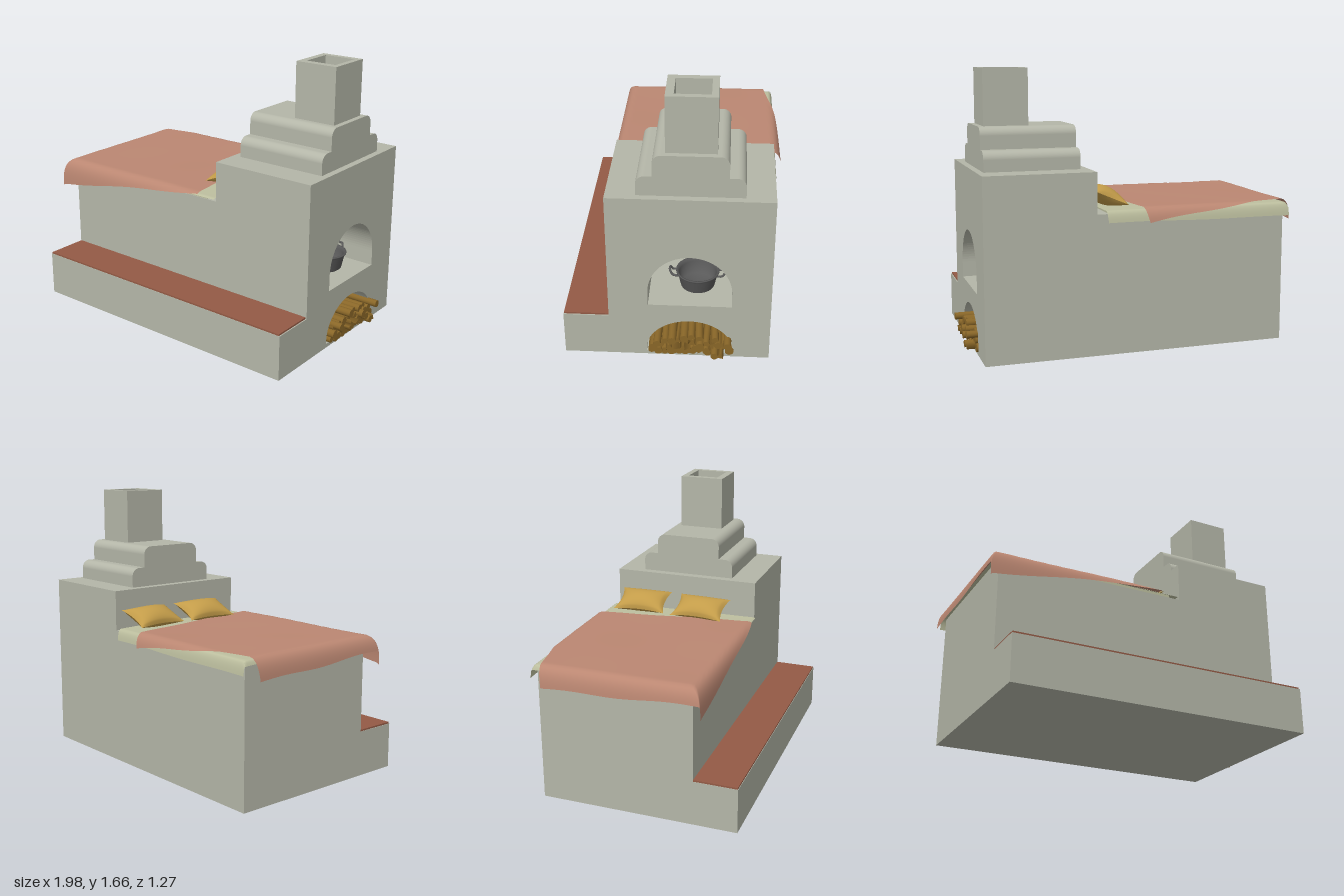
import * as THREE from 'three';

const mat = (color) => new THREE.MeshStandardMaterial({ color, roughness: 0.9, side: THREE.DoubleSide });
const M = {
  plaster: mat(0xb4b6a8), bench: mat(0x935a45), blanket: mat(0xbb8772), sheet: mat(0xbdbf9f),
  pillow: mat(0xc39c49), wood: mat(0x8a6728), iron: mat(0x595959),
};

export function createModel() {
  const model = new THREE.Group();
  const add = (name, geo, material, parent = model) => {
    const mesh = new THREE.Mesh(geo, material);
    mesh.name = name;
    parent.add(mesh);
    return mesh;
  };

  // Profiles are drawn in (-z, y) and extruded along x
  const extrudeX = (shape, x0, x1) =>
    new THREE.ExtrudeGeometry(shape, { depth: x1 - x0, bevelEnabled: false, curveSegments: 24 })
      .rotateY(Math.PI / 2).translate(x0, 0, 0);
  const polygon = (pts) => new THREE.Shape(pts.map(([a, y]) => new THREE.Vector2(a, y)));
  const stoveProfile = (top) =>
    polygon([[-0.635, 0], [0.57, 0], [0.57, top], [-0.37, top], [-0.37, 0.275], [-0.635, 0.275]]);
  const arch = (c, halfWidth, floor, spring, top) => {
    const p = new THREE.Path();
    p.moveTo(c - halfWidth, floor);
    p.lineTo(c + halfWidth, floor);
    p.lineTo(c + halfWidth, spring);
    p.absellipse(c, spring, halfWidth, top - spring, 0, Math.PI, false, 0);
    p.closePath();
    return p;
  };

  // Masonry: low sleeping platform, tall hearth with two arched niches
  add('sleepingPlatform', extrudeX(stoveProfile(0.835), -0.91, 0.27), M.plaster);
  add('hearthBack', extrudeX(stoveProfile(1.08), 0.27, 0.42), M.plaster);
  const front = stoveProfile(1.08);
  front.holes.push(arch(0.102, 0.242, 0.365, 0.46, 0.702), arch(0.102, 0.252, 0.025, 0.045, 0.252));
  add('hearthFront', extrudeX(front, 0.42, 0.93), M.plaster);

  // Rounded steps of the hood
  const hoodStep = (a0, a1, y0, y1, r) => {
    const s = new THREE.Shape();
    s.moveTo(a0, y0);
    s.lineTo(a1, y0);
    s.lineTo(a1, y1 - r);
    s.absarc(a1 - r, y1 - r, r, 0, Math.PI / 2);
    s.absarc(a0 + r, y1 - r, r, Math.PI / 2, Math.PI);
    s.closePath();
    return extrudeX(s, 0.32, 0.89);
  };
  add('hoodLowerStep', hoodStep(-0.2, 0.405, 1.08, 1.2, 0.05), M.plaster);
  add('hoodUpperStep', hoodStep(-0.108, 0.312, 1.2, 1.33, 0.05), M.plaster);

  // Hollow square chimney
  const rect = (x0, x1, a0, a1) => polygon([[x0, a0], [x1, a0], [x1, a1], [x0, a1]]);
  const flue = rect(0.59, 0.857, -0.038, 0.245);
  flue.holes.push(rect(0.63, 0.823, 0.008, 0.207));
  add('chimney', new THREE.ExtrudeGeometry(flue, { depth: 0.335, bevelEnabled: false })
    .rotateX(-Math.PI / 2).translate(0, 1.33, 0), M.plaster);

  // Wooden top of the bench
  add('benchTop', new THREE.BoxGeometry(1.83, 0.01, 0.262).translate(0.008, 0.28, 0.501), M.bench);

  // Cloth: a flat quad whose overhang folds down over the platform edges
  const drape = ([bl, br, fr, fl], y, flare, wave) => {
    const g = new THREE.PlaneGeometry(1, 1, 60, 60);
    const p = g.attributes.position;
    const out = (e) => flare * (1 - Math.exp(-e / 0.05));
    for (let i = 0; i < p.count; i++) {
      const u = p.getX(i) + 0.5, v = 0.5 - p.getY(i);
      const mix = (k) => (1 - v) * ((1 - u) * bl[k] + u * br[k]) + v * ((1 - u) * fl[k] + u * fr[k]);
      const x = mix(0) + wave * Math.sin(v * 11), z = mix(1) + wave * Math.sin(u * 9);
      const left = Math.max(0, -0.915 - x), near = Math.max(0, z - 0.37), far = Math.max(0, -0.575 - z);
      const e = Math.max(left, near, far);
      const ripple = 0.004 * Math.sin(7 * x + 3) * Math.sin(6 * z);
      p.setXYZ(i,
        Math.max(x, -0.915) - out(left),
        y + ripple * 0.5 - (e * e) / (e + 0.03),
        Math.min(0.37, Math.max(z, -0.575)) + out(near) - out(far));
    }
    g.computeVertexNormals();
    return g;
  };
  add('mattressCore', new THREE.BoxGeometry(1.1, 0.02, 0.93).translate(-0.35, 0.843, -0.1), M.sheet);
  add('mattressSheet',
    drape([[-0.97, -0.68], [0.21, -0.665], [0.265, 0.385], [-0.93, 0.385]], 0.855, 0.032, 0.003), M.sheet);
  add('blanket',
    drape([[-1.07, -0.52], [-0.03, -0.69], [0.15, 0.385], [-1.03, 0.575]], 0.869, 0.068, 0.006), M.blanket);

  // Pillows: two bulging halves with pinched corners
  const pillowHalf = (length, width, height) => {
    const g = new THREE.PlaneGeometry(2, 2, 24, 24);
    const p = g.attributes.position;
    for (let i = 0; i < p.count; i++) {
      const u = p.getX(i), v = p.getY(i), a = 1 - u * u, b = 1 - v * v;
      p.setXYZ(i, (u * width / 2) * (1 - 0.16 * b), height * Math.pow(a * b, 0.55),
        (-v * length / 2) * (1 - 0.12 * a));
    }
    g.computeVertexNormals();
    return g;
  };
  [[0.168, -0.36, 0.04, 0.34], [0.158, 0.04, -0.04, 0.345]].forEach(([x, z, turn, length]) => {
    const pillow = new THREE.Group();
    pillow.name = 'pillow';
    const half = pillowHalf(length, 0.215, 0.056);
    add('pillowTop', half, M.pillow, pillow);
    add('pillowUnderside', half, M.pillow, pillow).rotation.x = Math.PI;
    pillow.position.set(x, 0.917, z);
    pillow.rotation.set(0, turn, 0.4);
    model.add(pillow);
  });

  // Cooking pot with two handles
  const pot = new THREE.Group();
  pot.name = 'cookingPot';
  const wall = [[0, 0], [0.09, 0], [0.1, 0.008], [0.118, 0.09], [0.128, 0.1], [0.128, 0.108],
    [0.118, 0.108], [0.108, 0.09], [0.092, 0.014], [0, 0.014]];
  add('potBody', new THREE.LatheGeometry(wall.map(([r, y]) => new THREE.Vector2(r, y)), 32), M.iron, pot);
  for (const s of [-1, 1]) {
    const curve = new THREE.CatmullRomCurve3([[-0.035, 0.085, 0.11], [-0.03, 0.085, 0.145],
      [-0.02, 0.108, 0.162], [0.02, 0.108, 0.162], [0.03, 0.085, 0.145], [0.035, 0.085, 0.11]]
      .map(([x, y, z]) => new THREE.Vector3(x, y, s * z)));
    add('potHandle', new THREE.TubeGeometry(curve, 24, 0.007, 8), M.iron, pot);
  }
  pot.position.set(0.72, 0.366, -0.14);
  model.add(pot);

  // Firewood stack: whole and split logs with uneven ends
  let seed = 7;
  const rand = () => (seed = (seed * 16807) % 2147483647) / 2147483647;
  const firewood = new THREE.Group();
  firewood.name = 'firewood';
  const rows = [[0.048, 0.125, 12], [0.085, 0.105, 11], [0.12, 0.085, 9], [0.146, -0.07, 3]];
  for (const [y, z0, count] of rows) {
    for (let i = 0; i < count; i++) {
      const r = 0.019 + 0.007 * rand(), length = 0.32 + 0.1 * rand();
      const end = 0.935 + (rand() < 0.3 ? 0.065 : 0.035) * rand();
      const split = rand() < 0.4;
      const log = new THREE.CylinderGeometry(r, r, length, split ? 3 : 12)
        .rotateZ(-Math.PI / 2).rotateX(rand() * 6);
      const mesh = add('log', log, M.wood, firewood);
      mesh.position.set(end - length / 2, y + 0.008 * (rand() - 0.5), z0 - i * 0.0415);
      mesh.rotation.y = 0.08 * (rand() - 0.5);
    }
  }
  // A few longer logs stick out of the niche
  for (const [y, z] of [[0.125, -0.325], [0.05, -0.25], [0.09, -0.2], [0.13, 0.085]]) {
    add('longLog', new THREE.CylinderGeometry(0.022, 0.022, 0.4, 12).rotateZ(Math.PI / 2)
      .translate(0.795, y, z), M.wood, firewood);
  }
  model.add(firewood);

  return model;
}
